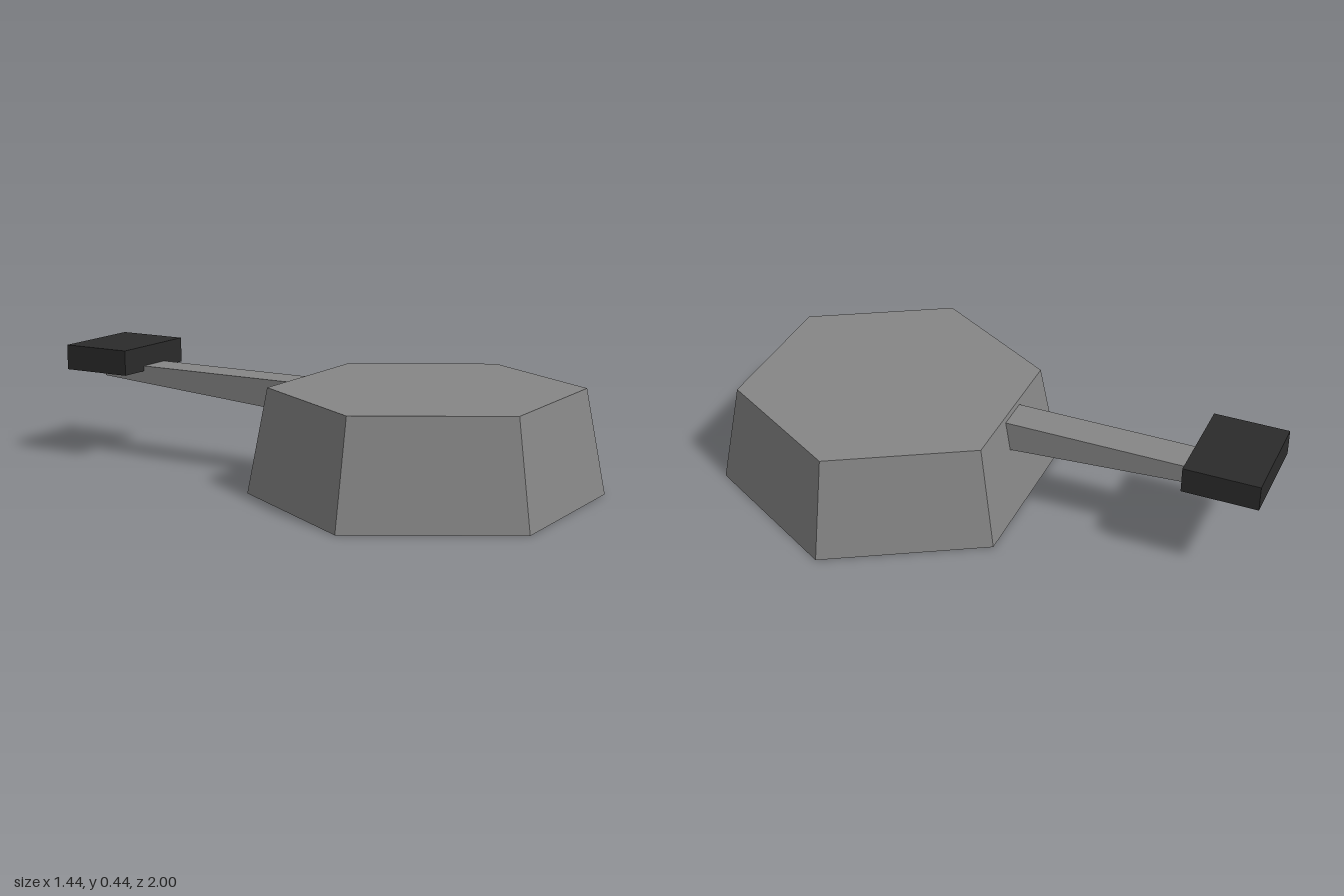
import * as THREE from 'three';

export function createModel() {
  const model = new THREE.Group();
  const grey = new THREE.MeshStandardMaterial({ color: 0x868686, flatShading: true, side: THREE.DoubleSide });
  grey.name = 'grey';
  const black = new THREE.MeshStandardMaterial({ color: 0x2b2b2b, flatShading: true });
  black.name = 'black';

  function add(parent, geometry, material, name) {
    const flat = geometry.index ? geometry.toNonIndexed() : geometry;
    flat.computeVertexNormals();
    const mesh = new THREE.Mesh(flat, material);
    mesh.name = name;
    parent.add(mesh);
    return mesh;
  }

  // Hollow six-sided shell: sloping walls and a flat top, open underneath
  const profile = [[0.638, 0], [0.564, 0.385], [0, 0.385]].map(([r, y]) => new THREE.Vector2(r, y));
  add(model, new THREE.LatheGeometry(profile, 6), grey, 'shell').position.set(0.168, 0, 0.36);

  // Everything on the arm runs along local +x, out of the back right wall
  const armGroup = new THREE.Group();
  armGroup.name = 'armAssembly';
  armGroup.position.set(0.168, 0, 0.36);
  armGroup.rotation.y = (2 * Math.PI) / 3;
  model.add(armGroup);

  // Arm with a level top and an underside that rises towards the tip
  const side = new THREE.Shape([[0.485, 0.25], [1.376, 0.312], [1.376, 0.365], [0.485, 0.365]]
    .map(([x, y]) => new THREE.Vector2(x, y)));
  const armGeometry = new THREE.ExtrudeGeometry(side, { depth: 0.13, bevelEnabled: false });
  armGeometry.translate(0, 0, -0.065);
  add(armGroup, armGeometry, grey, 'arm');

  // Dark block at the end of the arm
  add(armGroup, new THREE.BoxGeometry(0.277, 0.095, 0.363), black, 'endBlock').position.set(1.329, 0.3925, 0);

  return model;
}
